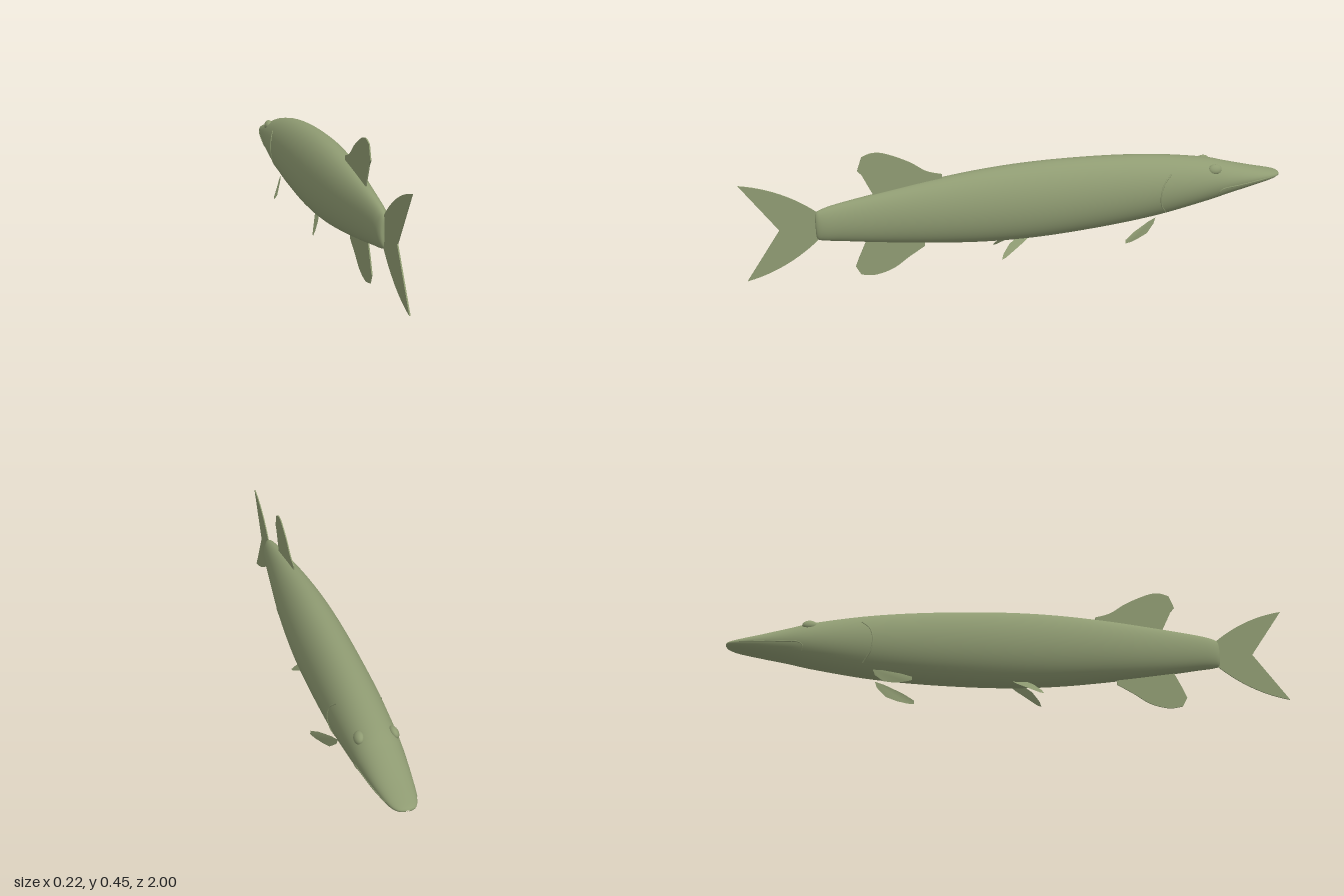
import * as THREE from 'three';

const olive = new THREE.MeshStandardMaterial({ color: 0x8f9b72 });
olive.name = 'olive skin';
const fin = new THREE.MeshStandardMaterial({ color: 0x8f9b72, side: THREE.DoubleSide });
fin.name = 'olive fin';

// Body stations, snout to tail: z, top, bottom, half width
const stations = [
  [-1, 0.211, 0.207, 0.006], [-0.99, 0.218, 0.2, 0.028], [-0.955, 0.228, 0.188, 0.045],
  [-0.88, 0.247, 0.172, 0.06], [-0.78, 0.275, 0.152, 0.073], [-0.69, 0.3, 0.132, 0.081],
  [-0.5, 0.332, 0.1, 0.09], [-0.29, 0.351, 0.081, 0.093], [-0.05, 0.359, 0.073, 0.092],
  [0.15, 0.354, 0.08, 0.084], [0.35, 0.336, 0.101, 0.069], [0.55, 0.309, 0.13, 0.047],
  [0.68, 0.289, 0.152, 0.033], [0.735, 0.276, 0.161, 0.025], [0.757, 0.262, 0.172, 0.015],
  [0.76, 0.22, 0.214, 0.002],
];
const topCurve = new THREE.CatmullRomCurve3(
  stations.map(([z, t, , w]) => new THREE.Vector3(w, t, z)), false, 'catmullrom', 0.5);
const bottomCurve = new THREE.CatmullRomCurve3(
  stations.map(([z, , b, w]) => new THREE.Vector3(w, b, z)), false, 'catmullrom', 0.5);

function bodyGeometry(rings = 120, sides = 48) {
  const pos = [], idx = [];
  for (let i = 0; i <= rings; i++) {
    const t = topCurve.getPoint(i / rings), b = bottomCurve.getPoint(i / rings);
    for (let j = 0; j < sides; j++) {
      const a = (j / sides) * Math.PI * 2;
      pos.push(t.x * Math.cos(a), (t.y + b.y) / 2 + ((t.y - b.y) / 2) * Math.sin(a), t.z);
      if (i === rings) continue;
      const p = i * sides + j, q = i * sides + ((j + 1) % sides);
      idx.push(p, q, p + sides, q, q + sides, p + sides);
    }
  }
  const g = new THREE.BufferGeometry();
  g.setAttribute('position', new THREE.Float32BufferAttribute(pos, 3));
  g.setIndex(idx);
  g.computeVertexNormals();
  return g;
}

// Point on the flank at a given z and y
function onFlank(z, y) {
  let k = 0;
  while (k < stations.length - 2 && stations[k + 1][0] < z) k++;
  const A = stations[k], B = stations[k + 1], f = (z - A[0]) / (B[0] - A[0]);
  const [t, b, w] = [1, 2, 3].map((n) => A[n] + (B[n] - A[n]) * f);
  const s = (y - (t + b) / 2) / ((t - b) / 2);
  return new THREE.Vector3(w * Math.sqrt(Math.max(0, 1 - s * s)), y, z);
}

// Thin upright fin from a (z, y) outline
function medianFin(name, curves) {
  const shape = new THREE.Shape();
  curves(shape);
  const g = new THREE.ExtrudeGeometry(shape, { depth: 0.004, bevelEnabled: false, curveSegments: 12 });
  g.translate(0, 0, -0.002);
  g.rotateY(-Math.PI / 2);
  const m = new THREE.Mesh(g, fin);
  m.name = name;
  return m;
}

// Thin slanted fin fanned from its first corner
function pairedFin(name, points, side) {
  const g = new THREE.BufferGeometry(), idx = [];
  g.setAttribute('position', new THREE.Float32BufferAttribute(
    points.flatMap(([x, y, z]) => [x * side, y, z]), 3));
  for (let i = 1; i < points.length - 1; i++) idx.push(...(side > 0 ? [0, i, i + 1] : [0, i + 1, i]));
  g.setIndex(idx);
  g.computeVertexNormals();
  const m = new THREE.Mesh(g, fin);
  m.name = name;
  return m;
}

// Fine crease following the flank
function crease(name, zy, side, radius) {
  const pts = zy.map(([z, y]) => onFlank(z, y)).map((p) => p.setX(p.x * side));
  const m = new THREE.Mesh(new THREE.TubeGeometry(new THREE.CatmullRomCurve3(pts), 32, radius, 6), olive);
  m.name = name;
  return m;
}

export function createModel() {
  const fish = new THREE.Group();
  fish.name = 'fish';
  const body = new THREE.Mesh(bodyGeometry(), olive);
  body.name = 'body';
  fish.add(body);

  fish.add(medianFin('tailFin', (s) => {
    s.moveTo(0.745, 0.262);
    s.quadraticCurveTo(0.86, 0.365, 1, 0.393);
    s.lineTo(0.88, 0.217);
    s.lineTo(1, 0.045);
    s.quadraticCurveTo(0.86, 0.07, 0.745, 0.173);
  }));
  fish.add(medianFin('dorsalFin', (s) => {
    s.moveTo(0.315, 0.32);
    s.lineTo(0.315, 0.354);
    s.splineThru([[0.37, 0.372], [0.43, 0.413], [0.51, 0.451], [0.555, 0.458], [0.59, 0.447]]
      .map(([z, y]) => new THREE.Vector2(z, y)));
    s.lineTo(0.607, 0.4);
    s.lineTo(0.593, 0.383);
    s.lineTo(0.55, 0.29);
  }));
  fish.add(medianFin('analFin', (s) => {
    s.moveTo(0.385, 0.125);
    s.lineTo(0.385, 0.09);
    s.splineThru([[0.44, 0.058], [0.5, 0.02], [0.565, 0.004], [0.615, 0.012]]
      .map(([z, y]) => new THREE.Vector2(z, y)));
    s.lineTo(0.632, 0.045);
    s.lineTo(0.62, 0.075);
    s.lineTo(0.585, 0.15);
  }));

  for (const side of [1, -1]) {
    const label = side > 0 ? 'left' : 'right';
    fish.add(pairedFin(label + 'PectoralFin', [
      [0.053, 0.107, -0.475], [0.066, 0.1, -0.44], [0.09, 0.078, -0.375], [0.108, 0.059, -0.335],
      [0.11, 0.046, -0.335], [0.1, 0.044, -0.36], [0.084, 0.046, -0.395], [0.071, 0.056, -0.435],
      [0.056, 0.085, -0.467],
    ], side));
    fish.add(pairedFin(label + 'PelvicFin', [
      [0.024, 0.09, 0], [0.024, 0.09, 0.05], [0.036, 0.07, 0.085], [0.053, 0.042, 0.112],
      [0.063, 0.026, 0.12], [0.061, 0.03, 0.105], [0.034, 0.073, 0.025],
    ], side));
    // Mouth line with hooked corner, and gill edge
    fish.add(crease(label + 'MouthLine',
      [[-0.945, 0.208], [-0.88, 0.205], [-0.8, 0.201], [-0.735, 0.197], [-0.722, 0.186], [-0.725, 0.17]], side, 0.0025));
    fish.add(crease(label + 'GillEdge',
      [[-0.52, 0.28], [-0.49, 0.25], [-0.478, 0.21], [-0.485, 0.165], [-0.51, 0.13]], side, 0.003));

    const eye = new THREE.Mesh(new THREE.SphereGeometry(1, 24, 16), olive);
    eye.name = label + 'Eye';
    eye.scale.set(0.014, 0.019, 0.026);
    eye.position.set(0.056 * side, 0.272, -0.705);
    eye.rotation.z = 0.5 * side;
    fish.add(eye);
  }
  return fish;
}
